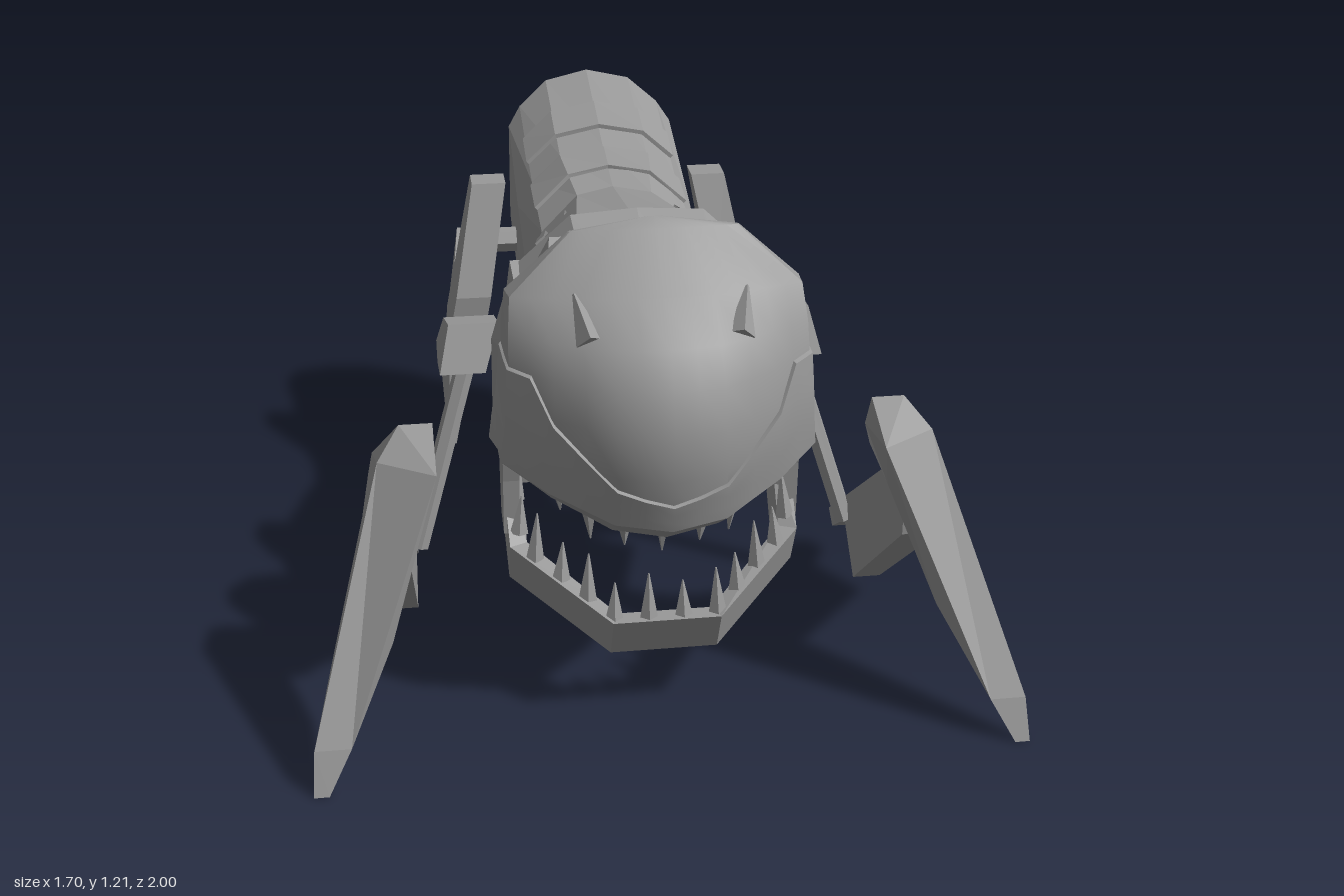
import * as THREE from 'three';
import { toCreasedNormals } from 'three/addons/utils/BufferGeometryUtils.js';

const mat = new THREE.MeshStandardMaterial({ color: 0x999999, side: THREE.DoubleSide });
const lerp = THREE.MathUtils.lerp;
const mix = (a, b, t) => a.map((v, i) => lerp(v, b[i], t));
const V = (p) => new THREE.Vector3(...p);

// Surface through rows of points; crease 0 keeps it faceted
function grid(rows, crease = 0) {
  const out = [];
  for (let i = 0; i < rows.length - 1; i++) {
    for (let j = 0; j < rows[i].length - 1; j++) {
      const a = rows[i][j], b = rows[i][j + 1], c = rows[i + 1][j + 1], d = rows[i + 1][j];
      out.push(...a, ...d, ...c, ...a, ...c, ...b);
    }
  }
  const g = new THREE.BufferGeometry();
  g.setAttribute('position', new THREE.Float32BufferAttribute(out, 3));
  g.computeVertexNormals();
  return crease ? toCreasedNormals(g, crease) : g;
}

// Half section (spine downwards on +x) mirrored to a full one, running from +x to -x
const full = (half) => [...half].reverse().concat(half.slice(1).map(([x, y, z]) => [-x, y, z]));
const swell = (pts, s, cy = 0.75) => pts.map(([x, y, z]) => [x * s, cy + (y - cy) * s, z]);
const mixRow = (a, b, t) => a.map((p, i) => mix(p, b[i], t));

// Closed ring made of an outer row and its inset copy
const doubled = (row, inset) => [...row, ...row.map(inset).reverse(), row[0]];

// Flat plate: outline in (z, y), thickness between two x functions, outer face optionally moved in z
function slab(pts, xin, xout, dz = () => 0) {
  const g = new THREE.ExtrudeGeometry(
    new THREE.Shape(pts.map(([z, y]) => new THREE.Vector2(-z, y))), { depth: 1, bevelEnabled: false });
  const p = g.attributes.position;
  for (let i = 0; i < p.count; i++) {
    const z = -p.getX(i), y = p.getY(i), t = p.getZ(i);
    p.setXYZ(i, lerp(xin(y, z), xout(y, z), t), y, z + t * dz(y, z));
  }
  g.computeVertexNormals();
  return g;
}

// Tapered rod between two points
function rod(a, b, r0, r1 = r0, sides = 6) {
  const A = V(a), B = V(b), d = B.clone().sub(A);
  const g = new THREE.CylinderGeometry(r1, r0, d.length(), sides).toNonIndexed();
  g.applyQuaternion(new THREE.Quaternion().setFromUnitVectors(new THREE.Vector3(0, 1, 0), d.clone().normalize()));
  g.translate(...A.add(B).multiplyScalar(0.5).toArray());
  g.computeVertexNormals();
  return g;
}

function mirrored(src) {
  const g = src.clone(), p = g.attributes.position;
  for (let i = 0; i < p.count; i += 3) {
    const [a, b, c] = [0, 1, 2].map((k) => [-p.getX(i + k), p.getY(i + k), p.getZ(i + k)]);
    [a, c, b].forEach((v, k) => p.setXYZ(i + k, ...v));
  }
  g.computeVertexNormals();
  return g;
}

// Body sections, half outlines from the spine down to the keel
const S0 = [[0, 1.1, .25], [.15, 1.09, .25], [.28, .96, .22], [.33, .78, .2], [.33, .6, .17], [.27, .48, .14], [.13, .38, .13], [0, .38, .13]];
const S1 = [[0, 1.02, -.22], [.1, 1.01, -.19], [.2, .93, -.14], [.24, .78, -.1], [.24, .68, -.1], [.235, .57, -.1], [.12, .51, -.17], [0, .51, -.17]];
const S2 = [[0, 1.06, -.44], [.12, 1.04, -.43], [.2, .97, -.42], [.24, .9, -.42], [.24, .75, -.42], [.235, .6, -.42], [.12, .53, -.42], [0, .53, -.42]];
const S3 = [[0, 1.16, -.83], [.12, 1.135, -.82], [.2, 1.07, -.79], [.235, 1.02, -.76], [.235, .88, -.77], [.235, .74, -.78]];
const NECK = [[0, .99, .57], [.14, .98, .56], [.22, .9, .53], [.265, .75, .48], [.27, .6, .45], [.24, .5, .43], [.13, .42, .42], [0, .42, .42]];

// Head shell rows: side x, back z, front z, side y, centre y
const HEAD = [[.01, .53, .532, 1.22, 1.22], [.2, .525, .56, 1.19, 1.2], [.35, .515, .69, 1.05, 1.08], [.358, .505, .80, .97, 1.0],
  [.36, .5, .86, .9, .92], [.365, .49, .89, .83, .82], [.37, .48, .89, .77, .71], [.38, .47, .855, .71, .575], [.37, .47, .77, .69, .505]];
// Plan of the head from nose to rear: share of width, share of depth
const PLAN = [[0, 1], [.34, .93], [.71, .68], [.98, .42], [1, 0]];
function headPoint(u, v) {
  const f = v * (HEAD.length - 1), i = Math.min(Math.floor(f), HEAD.length - 2);
  const [xs, zb, zf, ys, yc] = mix(HEAD[i], HEAD[i + 1], f - i);
  const h = Math.abs(u) * 4, k = Math.min(Math.floor(h), 3);
  const [s, c] = mix(PLAN[k], PLAN[k + 1], h - k);
  return [xs * s * Math.sign(u), lerp(ys, yc, c ** 1.3), lerp(zb, zf, c)];
}
const US = Array.from({ length: 17 }, (_, i) => i / 8 - 1);

export function createModel() {
  const model = new THREE.Group();
  const add = (name, geo) => {
    const m = new THREE.Mesh(geo, mat);
    m.name = name;
    model.add(m);
  };
  const pair = (name, geo) => { add(name + 'Left', geo); add(name + 'Right', mirrored(geo)); };

  // Torso with a sloping bulkhead, and the neck with its flared collar
  const shut = (row, y, z) => row.map(() => [0, y, z]);
  add('torso', grid([full(S0), full(S1), full(S2), shut(full(S2), .88, -.58)]));
  const collar = swell(S0, 1.1).map(([x, y, z]) => [x, y < .4 ? y - .04 : y, z]);
  add('neck', grid([shut(full(NECK), .7, .46), full(NECK), full(collar), full(S0)]));
  pair('neckPlate', slab([[.43, .49], [.46, .72], [.43, .8], [.36, .84], [.27, .97], [.22, 1], [.17, .49]],
    () => .24, (y, z) => .375 - .24 * (z - .17) - Math.max(0, y - .8) * .25));
  pair('neckUpperPlate', slab([[.47, .86], [.475, .96], [.36, 1.02], [.28, 1.08], [.27, 1], [.36, .9]],
    () => .15, (y, z) => .33 - Math.max(0, y - .86) * .5 - Math.max(0, z - .28) * .2));

  // Hollow tail, open behind and below
  const tailInset = ([x, y, z]) => [x * .9, y - (y > .95 ? .03 : 0), z + .005];
  add('tailShell', grid([S2.slice(0, 6), S3].map((r) => doubled(full(r), tailInset))));
  add('tailRim', grid([full(S3), full(S3).map(tailInset)]));

  // Raised plates across the back and on the shoulders
  const plate = (a, b, t0, t1, shape) => grid([[t0, 1], [t0, 1.035], [t1, 1.035], [t1, 1]]
    .map(([t, s]) => shape(swell(mixRow(a, b, t), s))));
  add('backPlateFront', plate(S1, S2, .43, .88, (r) => full(r.slice(0, 3))));
  add('backPlateRear', plate(S2.slice(0, 6), S3, .22, .52, (r) => full(r.slice(0, 3))));
  for (const [t0, t1, k0, k1] of [[.3, .42, .1, .75], [.42, .75, .45, .75], [.55, .68, .1, .3]]) {
    pair('shoulderPlate', plate(S0, S1, t0, t1, (r) => [mix(r[2], r[1], k0), mix(r[2], r[1], k1)]));
  }

  // Domed head: a thick shell, open behind and below
  const inset = ([x, y, z]) => [x * .92, .78 + (y - .78) * .93, z - .02];
  const headRows = HEAD.map((_, i) => US.map((u) => headPoint(u, i / (HEAD.length - 1))));
  add('headShell', grid(headRows.map((r) => doubled(r, inset)), .6));
  const lipRow = headRows[headRows.length - 1];
  add('headLowerEdge', grid([lipRow, lipRow.map(inset)]));

  // Raised lip following the mouth, stepping up at the cheeks
  const grow = ([x, y, z]) => [x * 1.015, y - .003, z + .01];
  const LIP_TOP = [.81, .8, .78, .72, .64, .5, .49, .49, .48];
  const lipTop = (u) => LIP_TOP[Math.round(Math.abs(u) * 8)];
  const lip = [0, .33, .66, 1].map((k) => US.map((u) => grow(headPoint(u, lerp(lipTop(u), .875, k)))));
  add('upperLip', grid([US.map((u) => headPoint(u, lipTop(u))), ...lip, lipRow], .5));
  pair('eye', rod([.172, 1.0, .735], [.2, 1.085, .65], .034, .004, 4));

  // Jaw bands: U-shaped bars with the foot set back, and a row of teeth
  function jaw(name, half, height, setBack, thick, count, tooth) {
    const path = half.map(([x, y, z]) => [-x, y, z]).concat([...half].reverse());
    const inner = ([x, y, z]) => [x * (1 - thick), y, .42 + (z - .42) * (1 - thick)];
    add(name, grid(path.map((p) => {
      const up = ([x, y, z]) => [x, y + height, z], back = ([x, y, z]) => [x, y, z - setBack];
      return [back(p), up(p), up(inner(p)), back(inner(p)), back(p)];
    })));
    const curve = new THREE.CurvePath();
    path.slice(1).forEach((p, i) => curve.add(new THREE.LineCurve3(V(path[i]), V(p))));
    for (let i = 0; i < count; i++) {
      const c = curve.getPointAt((i + .5) / count).toArray();
      const [x, y, z] = mix(c, inner(c), .6);
      const base = tooth > 0 ? y + height - .01 : y + .01;
      const len = tooth * (i % 2 ? .8 : 1);
      add(name + 'Tooth', rod([x, base, z], [x * .97, base + len, z - .01], .024, .002, 5));
    }
  }
  jaw('lowerJaw', [[.36, .40, .45], [.355, .28, .58], [.13, .18, .8]], .115, .055, .12, 14, .12);
  jaw('upperJaw', [[.32, .63, .5], [.27, .58, .66], [.13, .53, .75]], .07, 0, .2, 9, -.11);
  pair('jawHinge', slab([[.56, .7], [.47, .73], [.42, .52], [.44, .42], [.52, .4], [.53, .55]], () => .325, () => .365));
  pair('hingePin', rod([.33, .7, .4], [.33, .7, .5], .022));

  // Front limbs: shoulder axle, pad, strut, forearm and claw
  pair('shoulderAxle', rod([.24, .72, .07], [.42, .72, .07], .04));
  pair('shoulderPad', slab([[.13, .795], [.035, .775], [.01, .7], [.035, .65], [.185, .68]],
    (y) => .34 + (.79 - y) * .35, (y) => .465 + Math.min(.03, (.8 - y) * .4)));
  pair('frontStrut', rod([.42, .69, .1], [.57, .2, .21], .026));
  pair('forearm', slab([[.67, .57], [.58, .57], [.05, .145], [.09, .11], [.2, .19], [.3, .07], [.67, .41]],
    (y, z) => .565 + .05 * z, (y, z) => .62 + .11 * z));
  pair('frontClaw', slab([[1, .01], [.96, .11], [.725, .68], [.57, .74], [.52, .645], [.56, .61], [.66, .55], [.82, .3]],
    (y) => (y > .3 ? Math.max(.53, lerp(.65, .53, (y - .3) / .32)) : lerp(.82, .65, y / .3)),
    (y) => (y > .7 ? .61 : lerp(.85, .665, Math.max(0, y - .09) / .59)),
    (y, z) => (z > .7 && y > .5 ? -.085 : 0)));

  // Rear limbs: hip axle, thigh, rod and shin blade
  pair('hipAxle', rod([.22, .76, -.53], [.34, .76, -.53], .035));
  pair('thigh', slab([[-.53, .93], [-.61, .93], [-.61, .53], [-.42, .4], [-.42, .63]],
    (y) => lerp(.365, .265, (y - .4) / .53), (y) => lerp(.465, .36, (y - .4) / .53)));
  pair('rearRod', rod([.35, .48, -.5], [.385, .36, -.85], .026));
  pair('rearShin', slab([[-1, .62], [-.8, .35], [-.735, .01], [-.915, .19]],
    (y) => (y > .19 ? lerp(.37, .295, (y - .19) / .43) : lerp(.425, .37, y / .19)),
    (y) => lerp(.46, .385, Math.max(0, y - .15) / .47) - Math.max(0, .15 - y) * .1));

  return model;
}
